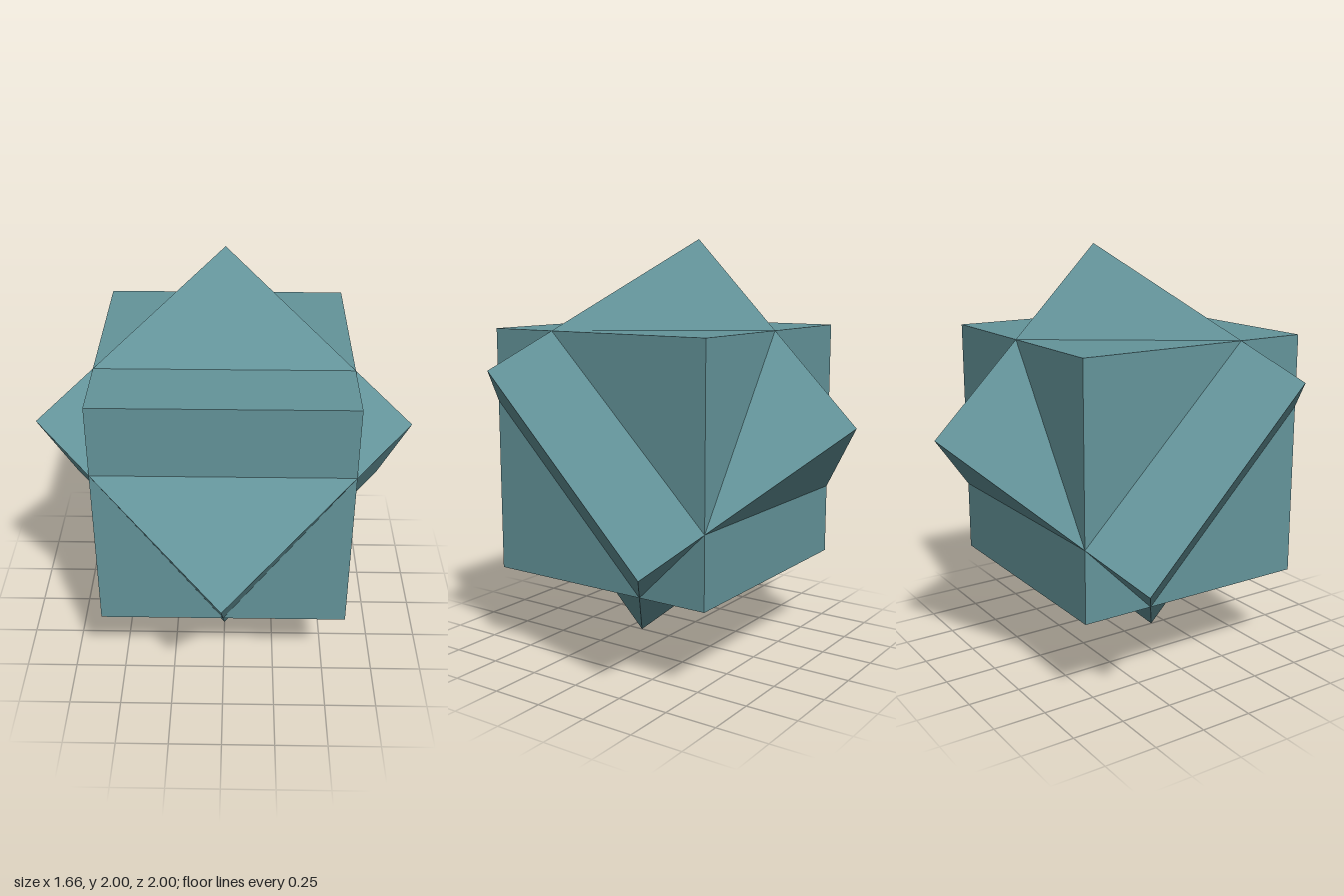
import * as THREE from 'three';

// Compound of two equal cubes sharing one centre.
export function createModel() {
  const model = new THREE.Group();
  model.name = 'cubeCompound';

  // Half edge chosen so the tilted cube spans exactly 2 units: h * (1 + 1/sqrt2) = 1
  const edge = 2 / (1 + Math.SQRT1_2);
  const geometry = new THREE.BoxGeometry(edge, edge, edge);
  const material = new THREE.MeshStandardMaterial({ color: 0x64949a, flatShading: true });

  const addCube = (name, tilt, turn) => {
    const cube = new THREE.Mesh(geometry, material);
    cube.name = name;
    cube.position.y = 1;
    cube.rotation.set(tilt, turn, 0); // turned about its own axis, then tipped forward
    model.add(cube);
  };

  addCube('uprightCube', 0, 0);
  addCube('tiltedCube', Math.PI / 4, Math.PI / 4);

  return model;
}
